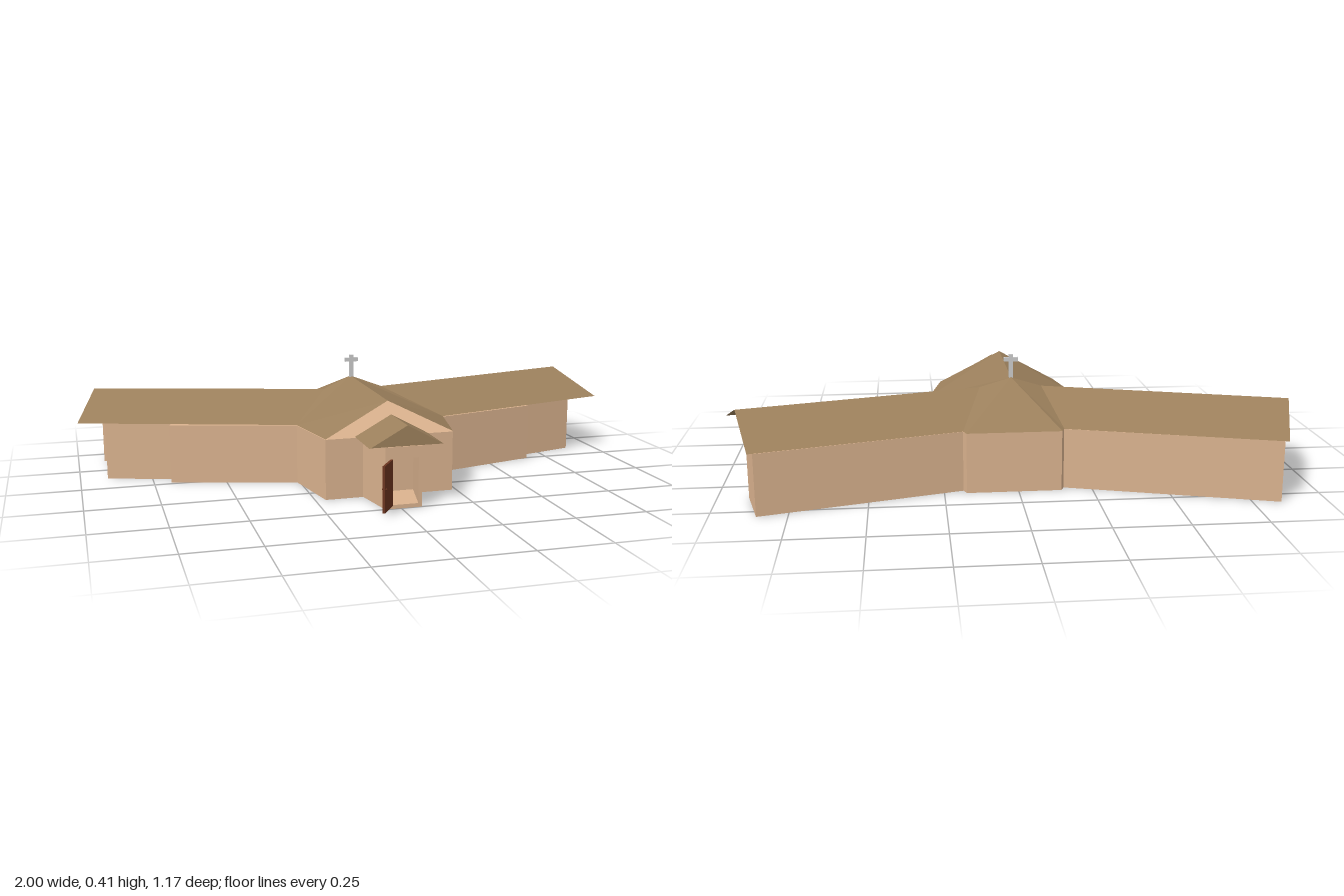
import * as THREE from 'three';

const BASE = 0.047, EAVE = 0.256;
const material = (color) => new THREE.MeshStandardMaterial({ color, flatShading: true, side: THREE.DoubleSide });
const wallMat = material(0xdbb38f), roofMat = material(0x9c805c);
const doorMat = material(0x6b3520), crossMat = material(0xcccccc);

// Flat panels from corner loops; each one is wound so that it faces up
function panels(name, loops, mat) {
  const pos = [];
  for (const loop of loops) {
    const pts = loop.map((p) => new THREE.Vector3(...p));
    for (let i = 1; i < pts.length - 1; i++) {
      let [a, b, c] = [pts[0], pts[i], pts[i + 1]];
      const n = b.clone().sub(a).cross(c.clone().sub(a));
      if (n.y < 0) [b, c] = [c, b];
      for (const v of [a, b, c]) pos.push(v.x, v.y, v.z);
    }
  }
  const g = new THREE.BufferGeometry();
  g.setAttribute('position', new THREE.Float32BufferAttribute(pos, 3));
  g.computeVertexNormals();
  const m = new THREE.Mesh(g, mat);
  m.name = name;
  return m;
}

// Upright prism over a plan given as [x, z] corners
function prism(name, plan, y0, y1, mat) {
  const shape = new THREE.Shape(plan.map(([x, z]) => new THREE.Vector2(x, -z)));
  const g = new THREE.ExtrudeGeometry(shape, { depth: y1 - y0, bevelEnabled: false });
  g.rotateX(-Math.PI / 2);
  g.translate(0, y0, 0);
  const m = new THREE.Mesh(g, mat);
  m.name = name;
  return m;
}

function box(name, w, h, d, x, y, z, mat) {
  const m = new THREE.Mesh(new THREE.BoxGeometry(w, h, d), mat);
  m.name = name;
  m.position.set(x, y, z);
  return m;
}

export function createModel() {
  const group = new THREE.Group();

  // Main walls: central hall and two swept wings with stepped ends
  const plan = [
    [0.235, 0.34], [0.285, 0.105], [0.67, 0.003], [0.655, -0.04], [0.89, -0.105],
    [0.85, -0.235], [0.885, -0.25], [0.865, -0.355], [0.895, -0.368], [0.85, -0.548],
    [0.185, -0.365], [0.175, -0.39], [-0.145, -0.39], [-0.155, -0.365],
    [-0.845, -0.575], [-0.905, -0.39], [-0.875, -0.378], [-0.895, -0.275], [-0.865, -0.26],
    [-0.905, -0.13], [-0.675, -0.06], [-0.69, -0.018], [-0.26, 0.105], [-0.215, 0.342],
  ];
  group.add(prism('walls', plan, BASE, EAVE - 0.002, wallMat));

  // Hall roof: front gable, hips to the wings and a hipped back
  const apex = [0, 0.38, -0.13], gable = [0, 0.375, 0.342];
  const sides = [
    { front: [0.235, EAVE, 0.34], valley: [0.285, EAVE, 0.105], inner: [0.11, 0.34, -0.1],
      join: [0.185, EAVE, -0.37], back: [0.175, EAVE, -0.397],
      endFront: [1, EAVE, -0.09], endRidge: [0.93, 0.34, -0.33], endBack: [0.866, EAVE, -0.556] },
    { front: [-0.215, EAVE, 0.345], valley: [-0.26, EAVE, 0.105], inner: [-0.11, 0.34, -0.1],
      join: [-0.155, EAVE, -0.37], back: [-0.145, EAVE, -0.397],
      endFront: [-1, EAVE, -0.13], endRidge: [-0.93, 0.338, -0.352], endBack: [-0.856, EAVE, -0.586] },
  ];
  const hall = [[apex, sides[0].back, sides[1].back]];
  for (const s of sides) {
    hall.push([gable, s.front, s.valley, apex], [apex, s.valley, s.inner],
      [apex, s.inner, s.join], [apex, s.join, s.back]);
  }
  group.add(panels('hallRoof', hall, roofMat));

  // Wing roofs with gable ends set in under the overhang
  for (const s of sides) {
    const wing = new THREE.Group();
    wing.name = s.endFront[0] > 0 ? 'leftWingRoof' : 'rightWingRoof';
    wing.add(panels('wingSlopes', [
      [s.inner, s.valley, s.endFront, s.endRidge],
      [s.inner, s.endRidge, s.endBack, s.join],
    ], roofMat));
    const inset = ([x, y, z]) => [x - Math.sign(x) * 0.05, y - 0.002, z + 0.014];
    wing.add(panels('wingGable', [[s.endFront, s.endRidge, s.endBack].map(inset)], roofMat));
    group.add(wing);
  }

  // Entrance porch: flared side walls, front jambs, lintel and floor
  const porch = new THREE.Group();
  porch.name = 'porch';
  const z0 = 0.34, z1 = 0.5, t = 0.012, top = EAVE - 0.002;
  porch.add(
    prism('porchLeftWall', [[0.105, z0], [0.07, z1], [0.07 - t, z1], [0.105 - t, z0]], BASE, top, wallMat),
    prism('porchRightWall', [[-0.085, z0], [-0.055, z1], [-0.055 + t, z1], [-0.085 + t, z0]], BASE, top, wallMat),
    prism('porchFloor', [[0.105, z0], [0.07, z1], [-0.055, z1], [-0.085, z0]], BASE, 0.06, wallMat),
    prism('lintel', [[0.07, z1], [-0.055, z1], [-0.055, z1 - t], [0.07, z1 - t]], 0.215, top, wallMat),
    prism('porchCeiling', [[0.105, z0], [0.07, z1], [-0.055, z1], [-0.085, z0]], top - 0.004, top, wallMat),
  );
  const ridge = [[0.015, 0.326, z0 - 0.005], [0.015, 0.326, 0.512]];
  porch.add(panels('porchRoof', [-0.112, 0.142].map((x) =>
    [ridge[0], ridge[1], [x, EAVE, 0.512], [x, EAVE, z0 - 0.005]]), roofMat));
  porch.add(panels('porchGable', [[[-0.112, EAVE, 0.503], [0.142, EAVE, 0.503], [0.015, 0.326, 0.502]]], roofMat));
  group.add(porch);

  // Door standing open
  const door = box('door', 0.09, 0.155, 0.008, -0.06, 0.1375, 0.542, doorMat);
  door.rotation.y = Math.atan2(0.075, 0.05);
  group.add(door);
  for (const side of [-1, 1]) {
    const knob = new THREE.Mesh(new THREE.SphereGeometry(0.003, 8, 6), doorMat);
    knob.name = 'doorKnob';
    knob.position.set(-0.036, 0, side * 0.006);
    door.add(knob);
  }

  // Roof cross
  const cross = new THREE.Group();
  cross.name = 'roofCross';
  cross.add(box('crossPost', 0.014, 0.09, 0.012, 0, 0.416, -0.119, crossMat));
  cross.add(box('crossBar', 0.05, 0.014, 0.012, 0, 0.443, -0.119, crossMat));
  group.add(cross);

  return group;
}
